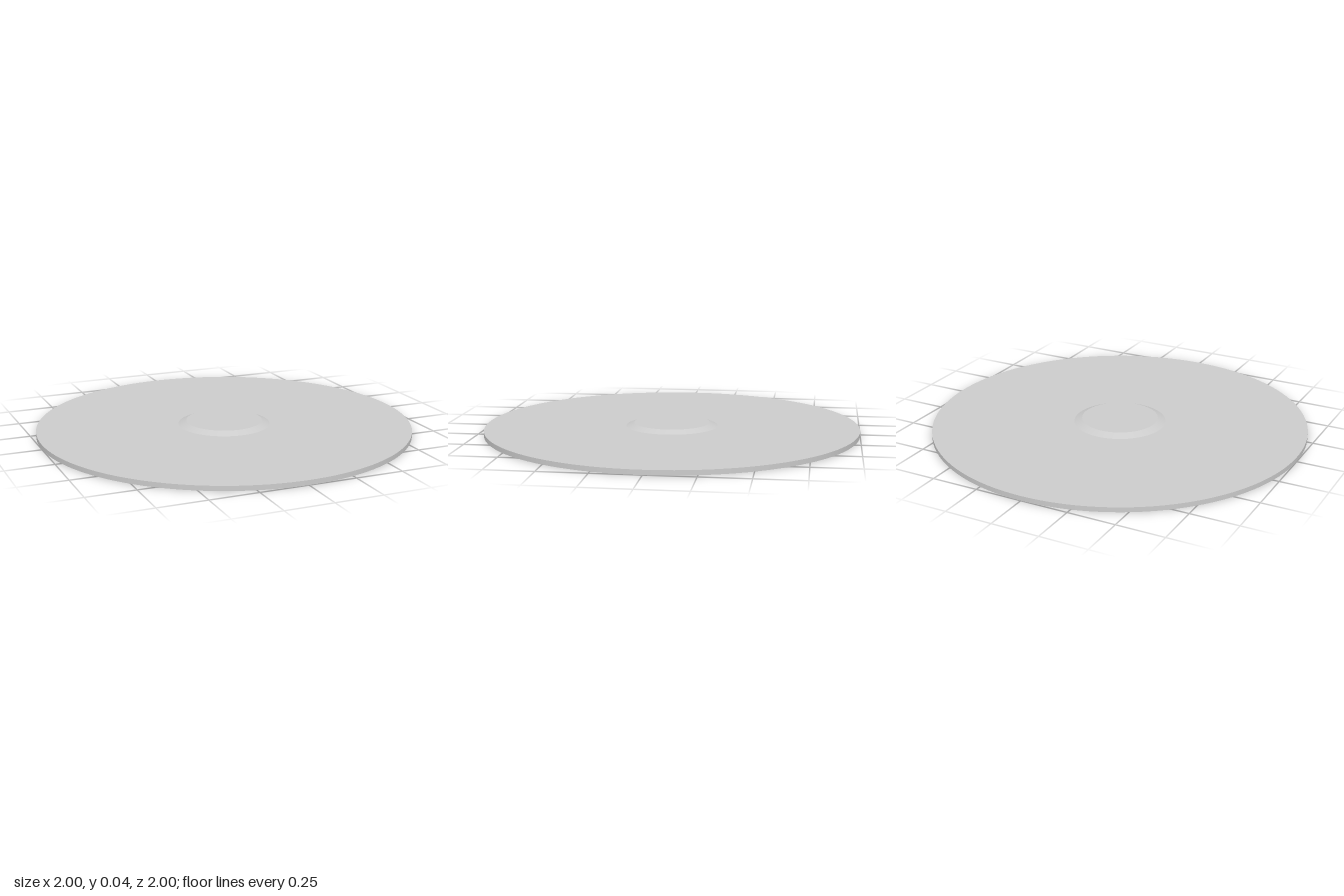
import * as THREE from 'three';

export function createModel() {
  const model = new THREE.Group();
  model.name = 'discWithHub';
  const material = new THREE.MeshStandardMaterial({ color: 0xcccccc });

  // A round slab standing on the given height, with sharp rims
  function addSlab(name, topRadius, bottomRadius, base, height) {
    const geometry = new THREE.CylinderGeometry(topRadius, bottomRadius, height, 128);
    const mesh = new THREE.Mesh(geometry, material);
    mesh.name = name;
    mesh.position.y = base + height / 2;
    model.add(mesh);
  }

  // Thin flat plate
  addSlab('disc', 1, 1, 0, 0.025);
  // Low raised centre with a sloped rim
  addSlab('centreHub', 0.203, 0.245, 0.025, 0.018);

  return model;
}
